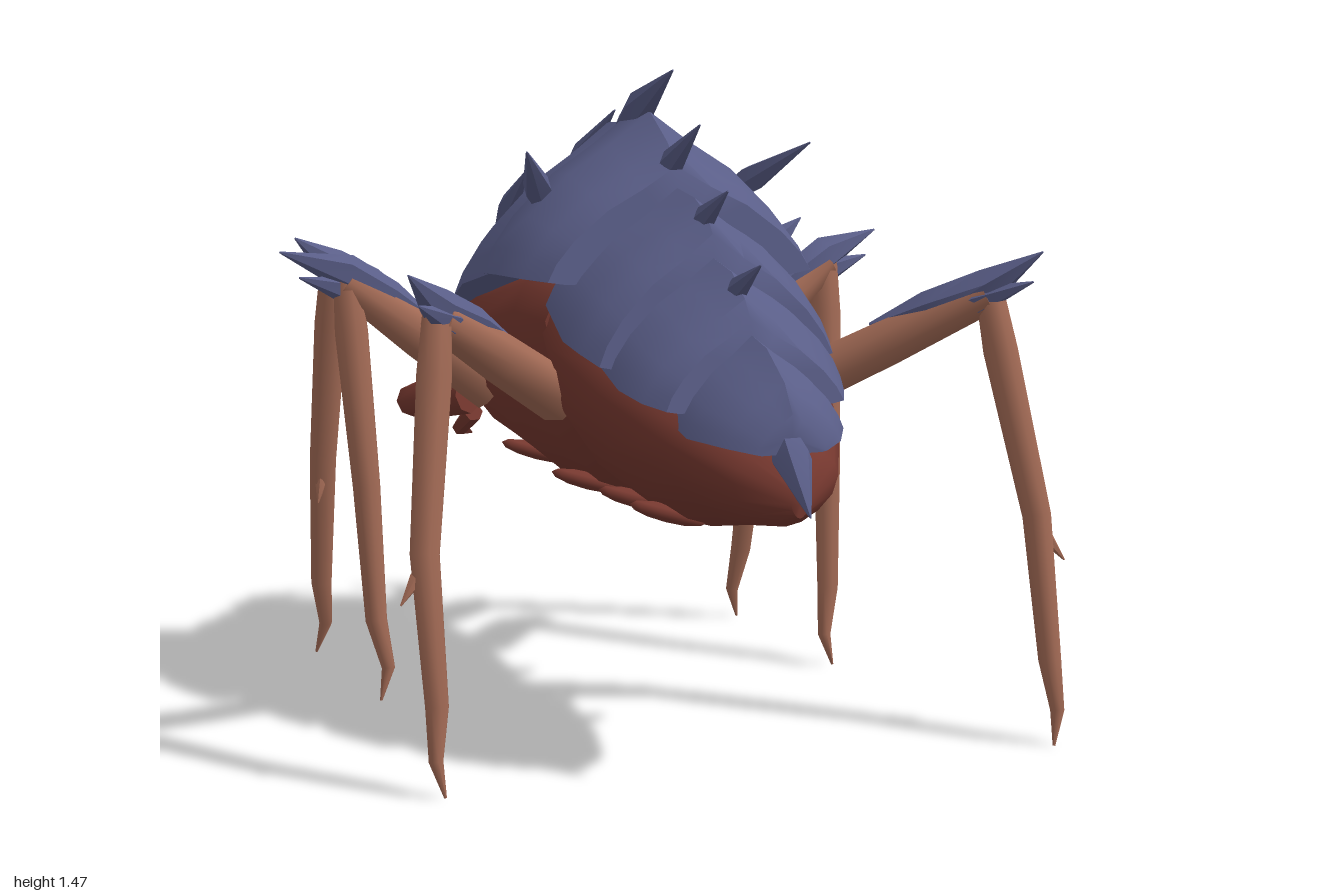
import * as THREE from 'three';
import { toCreasedNormals } from 'three/addons/utils/BufferGeometryUtils.js';

const shellBlue = new THREE.MeshStandardMaterial({ name: 'shellBlue', color: 0x5a5e88 });
const bodyRed = new THREE.MeshStandardMaterial({ name: 'bodyRed', color: 0x76382f });
const legBrown = new THREE.MeshStandardMaterial({ name: 'legBrown', color: 0xa26a55 });
const V = (x, y, z) => new THREE.Vector3(x, y, z);

// Closed skin over a list of rings, with a fan at each end
function skin(rings, crease) {
  const n = rings[0].length, pos = [], idx = [];
  const last = (rings.length - 1) * n;
  rings.forEach(r => r.forEach(p => pos.push(p.x, p.y, p.z)));
  for (const r of [rings[0], rings[rings.length - 1]]) {
    const c = r.reduce((s, p) => s.add(p), V(0, 0, 0)).divideScalar(n);
    pos.push(c.x, c.y, c.z);
  }
  for (let j = 0; j < n; j++) {
    const k = (j + 1) % n;
    for (let i = 0; i < last; i += n) {
      idx.push(i + j, i + k, i + n + j, i + k, i + n + k, i + n + j);
    }
    idx.push(last + n, k, j, last + n + 1, last + j, last + k);
  }
  const g = new THREE.BufferGeometry();
  g.setAttribute('position', new THREE.Float32BufferAttribute(pos, 3));
  g.setIndex(idx);
  return toCreasedNormals(g, crease);
}

// Tapered limb along a path, one radius per point
function limb(points, radii, sides = 8) {
  const rings = points.map((p, i) => {
    const d = points[Math.min(i + 1, points.length - 1)].clone()
      .sub(points[Math.max(i - 1, 0)]).normalize();
    const ref = Math.abs(d.z) > 0.8 ? V(0, 1, 0) : V(0, 0, 1);
    const a = ref.cross(d).normalize(), b = d.clone().cross(a);
    return Array.from({ length: sides }, (_, j) => {
      const t = j / sides * Math.PI * 2;
      return p.clone().addScaledVector(a, Math.cos(t) * radii[i]).addScaledVector(b, Math.sin(t) * radii[i]);
    });
  });
  return skin(rings, 0.9);
}

// Thorn that swells a little past its root, then runs to a point
function thorn(from, to, r) {
  return limb([from, from.clone().lerp(to, 0.35), to], [r * 0.6, r, 0.002], 6);
}

// Body stations: z, centre y, half width, height above, depth below; the belly narrows like a keel
const bodyRings = stations => stations.map(([z, y, w, up, down]) =>
  Array.from({ length: 16 }, (_, j) => {
    const t = j / 16 * Math.PI * 2, c = Math.cos(t);
    const keel = c < 0 ? 1 - 0.25 * c * c : 1;
    return V(-Math.sin(t) * w * keel, y + c * (c > 0 ? up : down), z);
  }));

// Ridged plate stations: z, edge y, half width, ridge height, backward sweep of the sides
const half = [[0.26, 0.8], [0.53, 0.62], [0.79, 0.36], [0.93, 0.16], [1, 0], [0.86, -0.03]];
const arch = [[0, 1], ...half.map(([x, y]) => [-x, y]), ...half.slice().reverse()];
const plateRings = stations => stations.map(([z, y, w, h, sweep = 0]) =>
  arch.map(([px, py]) => V(px * w, y + py * h, z + sweep * (1 - py))));

const bodyParts = {
  thoraxAndHead: [[-0.835, 0.63, 0.03, 0.02, 0.03], [-0.81, 0.64, 0.1, 0.05, 0.06], [-0.77, 0.66, 0.165, 0.06, 0.09], [-0.7, 0.69, 0.21, 0.07, 0.12],
    [-0.6, 0.74, 0.23, 0.1, 0.17], [-0.47, 0.8, 0.26, 0.12, 0.27], [-0.4, 0.82, 0.288, 0.2, 0.31], [-0.33, 0.84, 0.295, 0.2, 0.34],
    [-0.15, 0.87, 0.32, 0.15, 0.39], [0.1, 0.93, 0.31, 0.15, 0.44], [0.22, 0.92, 0.28, 0.12, 0.34]],
  abdomen: [[0.16, 0.9, 0.27, 0.15, 0.32], [0.3, 0.87, 0.3, 0.18, 0.37], [0.5, 0.8, 0.27, 0.12, 0.31],
    [0.7, 0.73, 0.21, 0.1, 0.2], [0.88, 0.66, 0.12, 0.07, 0.1], [0.95, 0.62, 0.02, 0.03, 0.03]],
};

const plates = {
  headShield: [[-0.79, 0.69, 0.08, 0.07], [-0.77, 0.69, 0.14, 0.11], [-0.72, 0.71, 0.2, 0.14], [-0.6, 0.77, 0.255, 0.16],
    [-0.48, 0.83, 0.28, 0.17], [-0.41, 0.86, 0.287, 0.17]],
  thoraxShield: [[-0.45, 0.88, 0.27, 0.16, 0.07], [-0.38, 0.89, 0.3, 0.26, 0.04], [-0.25, 0.92, 0.33, 0.35],
    [-0.1, 0.97, 0.36, 0.36], [0.04, 1.01, 0.34, 0.33]],
  backPlateOne: [[-0.02, 1.02, 0.33, 0.3], [0.03, 1.01, 0.36, 0.35], [0.15, 1.02, 0.37, 0.35], [0.25, 1.02, 0.345, 0.29], [0.3, 1.02, 0.315, 0.24, 0.03]],
  backPlateTwo: [[0.25, 0.96, 0.29, 0.26], [0.4, 0.9, 0.308, 0.3], [0.47, 0.88, 0.295, 0.29], [0.5, 0.86, 0.275, 0.27, 0.03]],
  backPlateThree: [[0.45, 0.86, 0.25, 0.23], [0.6, 0.82, 0.26, 0.24], [0.67, 0.8, 0.235, 0.21], [0.7, 0.79, 0.205, 0.18, 0.03]],
  backPlateFour: [[0.65, 0.77, 0.18, 0.18], [0.78, 0.74, 0.18, 0.18], [0.87, 0.73, 0.13, 0.13], [0.91, 0.72, 0.08, 0.08]],
};

// Hip, knee, shin middle, ankle, claw and toe; the knee spike's tip; how far the spur stands out
const legs = {
  frontLeg: { shift: -0.03, spur: 0.02, tip: [0.65, 1.05, -0.43], pts: [[0.24, 0.75, -0.42], [0.56, 0.96, -0.42],
    [0.565, 0.5, -0.51], [0.555, 0.19, -0.57], [0.54, 0.08, -0.59], [0.56, 0.005, -0.605]] },
  middleLeg: { shift: -0.08, spur: 0.02, tip: [0.74, 1.04, -0.2], pts: [[0.25, 0.71, -0.12], [0.59, 0.97, -0.17],
    [0.57, 0.5, -0.1], [0.56, 0.19, -0.07], [0.54, 0.08, -0.045], [0.56, 0.005, -0.04]] },
  backLeg: { shift: -0.12, spur: 0.06, tip: [0.71, 1.08, 0.68], pts: [[0.25, 0.75, 0.34], [0.62, 0.98, 0.6],
    [0.69, 0.5, 0.71], [0.69, 0.19, 0.78], [0.7, 0.08, 0.8], [0.685, 0.005, 0.815]] },
};

export function createModel() {
  const model = new THREE.Group();
  const add = (name, geometry, material, parent = model) => {
    const m = new THREE.Mesh(geometry, material);
    m.name = name;
    parent.add(m);
    return m;
  };

  for (const [name, s] of Object.entries(bodyParts)) add(name, skin(bodyRings(s), 0.9), bodyRed);
  for (const [name, s] of Object.entries(plates)) add(name, skin(plateRings(s), 0.75), shellBlue);

  // Thorns along the ridge, and the tail
  [[1.18, -0.36, 1.36, -0.06, 0.032], [1.33, 0.0, 1.47, 0.28, 0.038], [1.22, 0.2, 1.36, 0.43, 0.03],
    [1.13, 0.4, 1.23, 0.58, 0.026], [1.0, 0.58, 1.09, 0.75, 0.024], [0.76, 0.86, 0.6, 1, 0.045]]
    .forEach(([y, z, ty, tz, r], i) =>
      add(i < 5 ? 'ridgeThorn' : 'tailThorn', thorn(V(0, y, z), V(0, ty, tz), r), shellBlue));

  for (const s of [1, -1]) {
    // Side thorns
    add('thoraxThorn', thorn(V(s * 0.18, 1.08, -0.32), V(s * 0.22, 1.23, -0.05), 0.03), shellBlue);
    add('sideThorn', thorn(V(s * 0.22, 1.16, 0.05), V(s * 0.34, 1.3, 0.27), 0.033), shellBlue);

    // Eyes
    for (const [x, y, z, r] of [[0.12, 0.76, -0.74, 0.024], [0.2, 0.74, -0.67, 0.031]]) {
      add('eye', new THREE.SphereGeometry(r, 12, 8), bodyRed).position.set(s * x, y, z);
    }

    // Jaws with an inner tooth, and the feelers below them
    add('jaw', limb([V(s * 0.15, 0.62, -0.66), V(s * 0.21, 0.6, -0.76), V(s * 0.232, 0.58, -0.85), V(s * 0.19, 0.555, -0.94), V(s * 0.04, 0.52, -1)],
      [0.05, 0.053, 0.042, 0.03, 0.002]), bodyRed);
    add('jawTooth', thorn(V(s * 0.22, 0.57, -0.82), V(s * 0.16, 0.55, -0.9), 0.015), bodyRed);
    add('feeler', limb([V(s * 0.13, 0.57, -0.68), V(s * 0.13, 0.515, -0.78), V(s * 0.06, 0.48, -0.89)], [0.025, 0.02, 0.002], 6), bodyRed);

    // Belly ridges
    for (const [z, y] of [[-0.28, 0.535], [0.05, 0.52], [0.34, 0.53], [0.52, 0.53]]) {
      const ridge = add('bellyRidge', new THREE.SphereGeometry(1, 10, 6), bodyRed);
      ridge.position.set(s * 0.11, y, z);
      ridge.scale.set(0.095, 0.02, 0.03);
      ridge.rotation.z = s * 0.3;
    }

    // Legs
    for (const [name, { shift, spur, pts, tip }] of Object.entries(legs)) {
      const leg = new THREE.Group();
      leg.name = name;
      model.add(leg);
      const at = ([x, y, z]) => V(s * x, y, z + (s < 0 ? shift : 0));
      const [hip, knee, shin, ankle, claw, toe] = pts.map(at), end = at(tip);
      const along = (t, lift) => hip.clone().lerp(knee, t).add(V(0, lift, 0));
      add('thigh', limb([hip, along(0.5, 0), knee], [0.06, 0.055, 0.042]), legBrown, leg);
      add('shin', limb([knee.clone().add(V(0, 0.02, 0)), knee.clone().lerp(shin, 0.25), shin, ankle, claw, toe],
        [0.032, 0.04, 0.033, 0.026, 0.016, 0.003]), legBrown, leg);
      add('shinSpur', thorn(shin.clone().add(V(0, -0.02, 0)), shin.clone().add(V(s * spur, -0.1, 0.02)), 0.016), legBrown, leg);
      // Blue spikes lying over the thigh and knee
      add('kneeSpike', limb([along(0.42, 0.058), along(0.7, 0.037), knee.clone().add(V(0, 0.02, 0)), end],
        [0.006, 0.038, 0.043, 0.002], 6), shellBlue, leg);
      add('kneeBarb', thorn(along(0.8, 0.01), knee.clone().lerp(end, 0.75).add(V(0, -0.04, 0.02)), 0.035), shellBlue, leg);
    }
  }
  return model;
}
